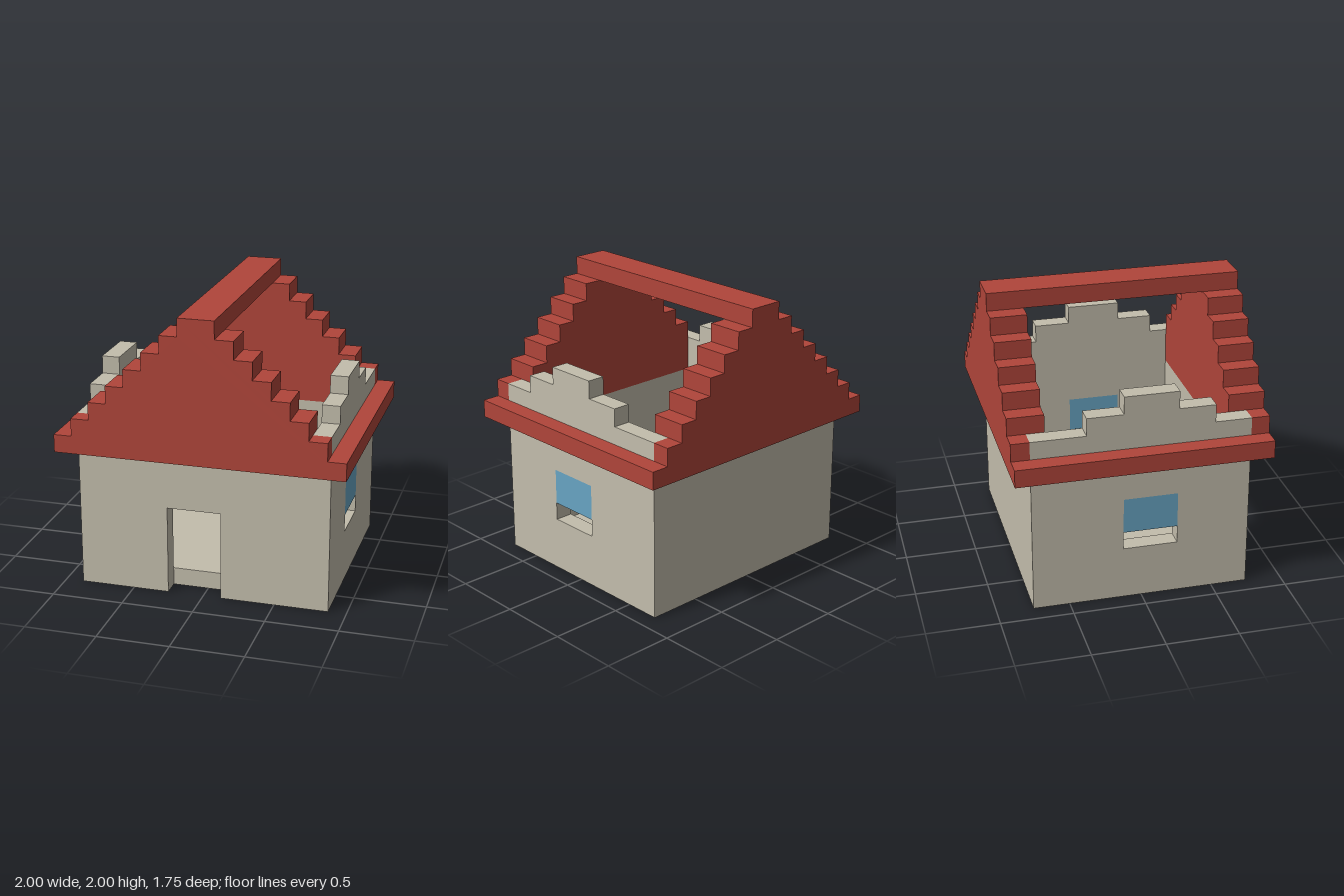
import * as THREE from 'three';

const U = 0.125; // one building block

// Stepped outline: rows of [left, right, height] stacked upward from y0
function steppedShape(rows, y0) {
  const right = [], left = [];
  let y = y0;
  for (const [a, b, h] of rows) {
    right.push(new THREE.Vector2(b, y), new THREE.Vector2(b, y + h));
    left.push(new THREE.Vector2(a, y), new THREE.Vector2(a, y + h));
    y += h;
  }
  return new THREE.Shape([...right, ...left.reverse()]);
}

const slab = (shape) => new THREE.ExtrudeGeometry(shape, { depth: U, bevelEnabled: false });

export function createModel() {
  const house = new THREE.Group();
  house.name = 'house';

  const stone = new THREE.MeshStandardMaterial({ color: 0xc3bdac });
  stone.name = 'stone';
  const roofRed = new THREE.MeshStandardMaterial({ color: 0xb0453a });
  roofRed.name = 'roofRed';
  const glass = new THREE.MeshStandardMaterial({ color: 0x68a4c3 });
  glass.name = 'glass';

  function add(name, geometry, material, x, y, z) {
    const mesh = new THREE.Mesh(geometry, material);
    mesh.name = name;
    mesh.position.set(x, y, z);
    house.add(mesh);
    return mesh;
  }
  const box = (name, material, w, h, d, x, y, z) =>
    add(name, new THREE.BoxGeometry(w, h, d), material, x, y, z);

  // Floor slab and back wall
  box('floor', stone, 1.5, U, 1.25, 0, U / 2, 0);
  box('backWall', stone, 1.5, 1, U, 0, 0.5, -0.6875);

  // Front wall with an open doorway cut through to the ground
  const front = new THREE.Shape([
    [-0.75, 0], [-0.25, 0], [-0.25, 0.625], [0.125, 0.625],
    [0.125, 0], [0.75, 0], [0.75, 1], [-0.75, 1],
  ].map(([x, y]) => new THREE.Vector2(x, y)));
  add('frontWall', slab(front), stone, 0, 0, 0.625);

  // Side walls: stepped parapet on top, window opening half filled by glass
  const side = steppedShape([[-0.75, 0.75, 1.25], [-0.375, 0.5, U], [-0.125, 0.25, U]], 0);
  side.holes.push(new THREE.Path([
    [-0.125, 0.375], [-0.125, 0.75], [0.25, 0.75], [0.25, 0.375],
  ].map(([z, y]) => new THREE.Vector2(z, y))));
  const sideGeometry = slab(side).rotateY(-Math.PI / 2);
  for (const [label, s] of [['left', 1], ['right', -1]]) {
    add(label + 'Wall', sideGeometry, stone, s > 0 ? 0.875 : -0.75, 0, 0);
    box(label + 'WindowPane', glass, U, 0.25, 0.375, s * 0.8125, 0.625, 0.0625);
    box(label + 'Eave', roofRed, U, U, 1.5, s * 0.9375, 1.0625, 0);
  }

  // Stepped gables: a full outer layer, and an inner layer between the side walls
  const halfWidths = Array.from({ length: 8 }, (_, i) => 1 - i * U);
  const outer = slab(steppedShape(halfWidths.map((w) => [-w, w, U]), 1));
  const innerRows = [[-0.75, 0.75, 3 * U], ...halfWidths.slice(3).map((w) => [-w, w, U])];
  const inner = slab(steppedShape(innerRows, 1));
  add('frontGable', outer, roofRed, 0, 0, 0.75);
  add('frontGableInner', inner, roofRed, 0, 0, 0.625);
  add('backGable', outer, roofRed, 0, 0, -0.875);
  add('backGableInner', inner, roofRed, 0, 0, -0.75);

  // Ridge beam joining the gables
  box('ridgeBeam', roofRed, 0.25, U, 1.25, 0, 1.9375, 0);

  return house;
}
